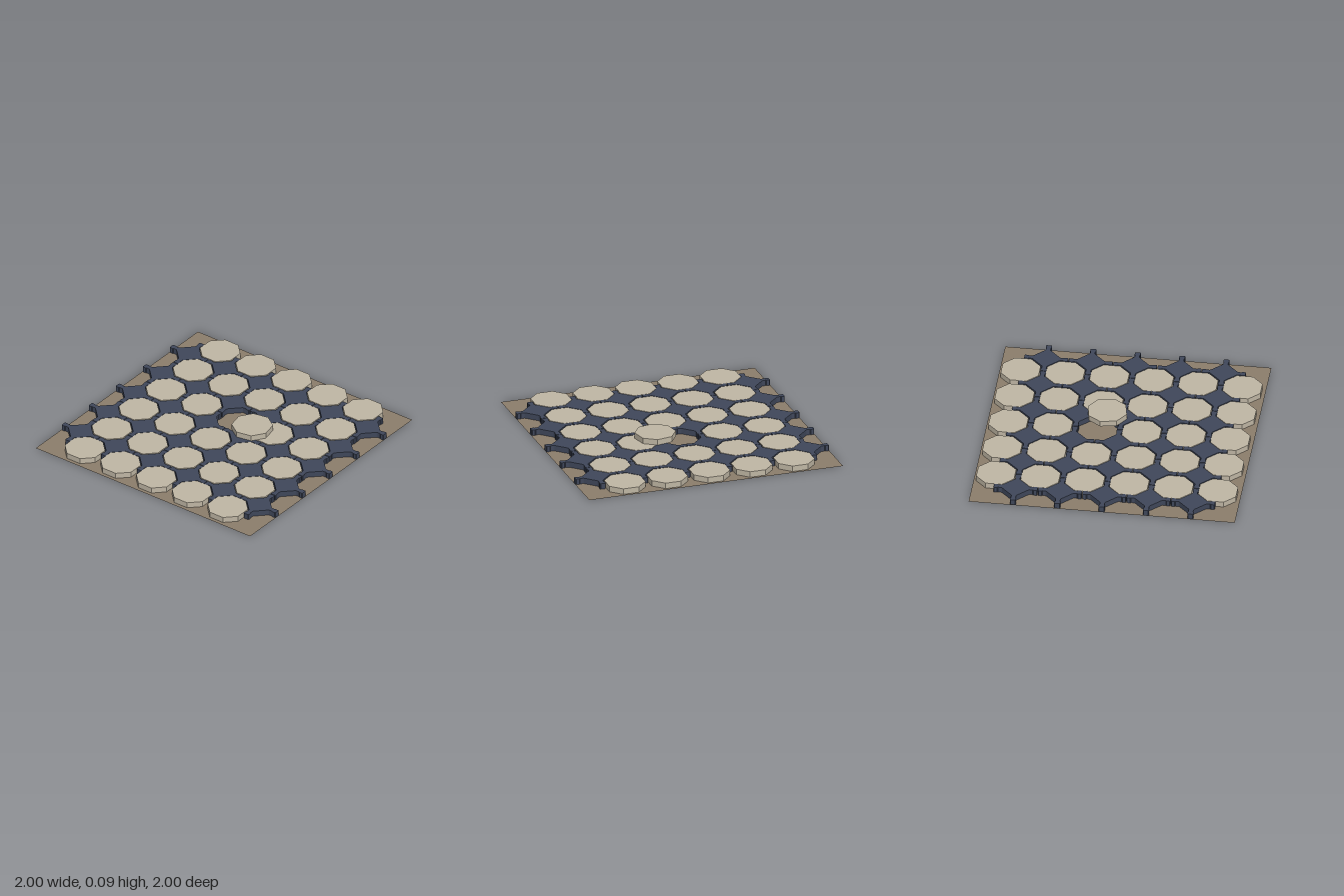
import * as THREE from 'three';

const PITCH = 0.3335;
const HEIGHT = 0.044;

const material = (name, color, extra = {}) => {
  const m = new THREE.MeshStandardMaterial({ color, ...extra });
  m.name = name;
  return m;
};

// Flat slab lying on the ground, from a closed outline
function slab(points) {
  const shape = new THREE.Shape(points.map(([x, y]) => new THREE.Vector2(x, y)));
  const geometry = new THREE.ExtrudeGeometry(shape, { depth: HEIGHT, bevelEnabled: false });
  return geometry.rotateX(-Math.PI / 2);
}

// Repeats one quarter of an outline around the centre
function fourfold(quarter) {
  const points = [];
  for (let i = 0; i < 4; i++) {
    const c = Math.round(Math.cos(i * Math.PI / 2));
    const s = Math.round(Math.sin(i * Math.PI / 2));
    for (const [x, y] of quarter) points.push([x * c - y * s, x * s + y * c]);
  }
  return points;
}

export function createModel() {
  const model = new THREE.Group();
  model.name = 'octagonPaving';
  const stone = material('paleStone', 0xbfb6a4);
  const navy = material('navyConnector', 0x3f475a);
  const earth = material('brownBase', 0x8b7d6b, { side: THREE.DoubleSide });

  const add = (name, geometry, mat, x, y, z) => {
    const mesh = new THREE.Mesh(geometry, mat);
    mesh.name = name;
    mesh.position.set(x, y, z);
    model.add(mesh);
    return mesh;
  };

  // Ground sheet
  add('baseSheet', new THREE.PlaneGeometry(2, 2).rotateX(-Math.PI / 2), earth, 0, 0, 0);

  // Octagonal tiles, with one left out of its socket
  const tile = slab(fourfold([[0.142, -0.061], [0.142, 0.061]]));
  for (let row = 0; row < 6; row++) {
    for (let col = 0; col < 5; col++) {
      if (row === 2 && col === 2) continue;
      add('octagonTile', tile, stone, (col - 2) * PITCH - 0.003, 0.001, (row - 2.5) * PITCH - 0.004);
    }
  }

  // Lifted tile resting on its neighbours
  const lifted = add('liftedTile', tile, stone, 0.174, 0.0455, -0.119);
  lifted.rotation.y = THREE.MathUtils.degToRad(11);

  // Four-armed connectors with slightly widened arm ends
  const connector = slab(fourfold([
    [0.164, -0.018], [0.164, 0.018], [0.16, 0.022], [0.137, 0.022],
    [0.13, 0.017], [0.106, 0.018], [0.1, 0.021], [0.021, 0.1],
    [0.018, 0.106], [0.017, 0.13], [0.022, 0.137], [0.022, 0.16],
  ]));
  for (let row = 0; row < 5; row++) {
    for (let col = 0; col < 6; col++) {
      add('connector', connector, navy, (col - 2.5) * PITCH, 0.001, (row - 2) * PITCH - 0.002);
    }
  }
  return model;
}
